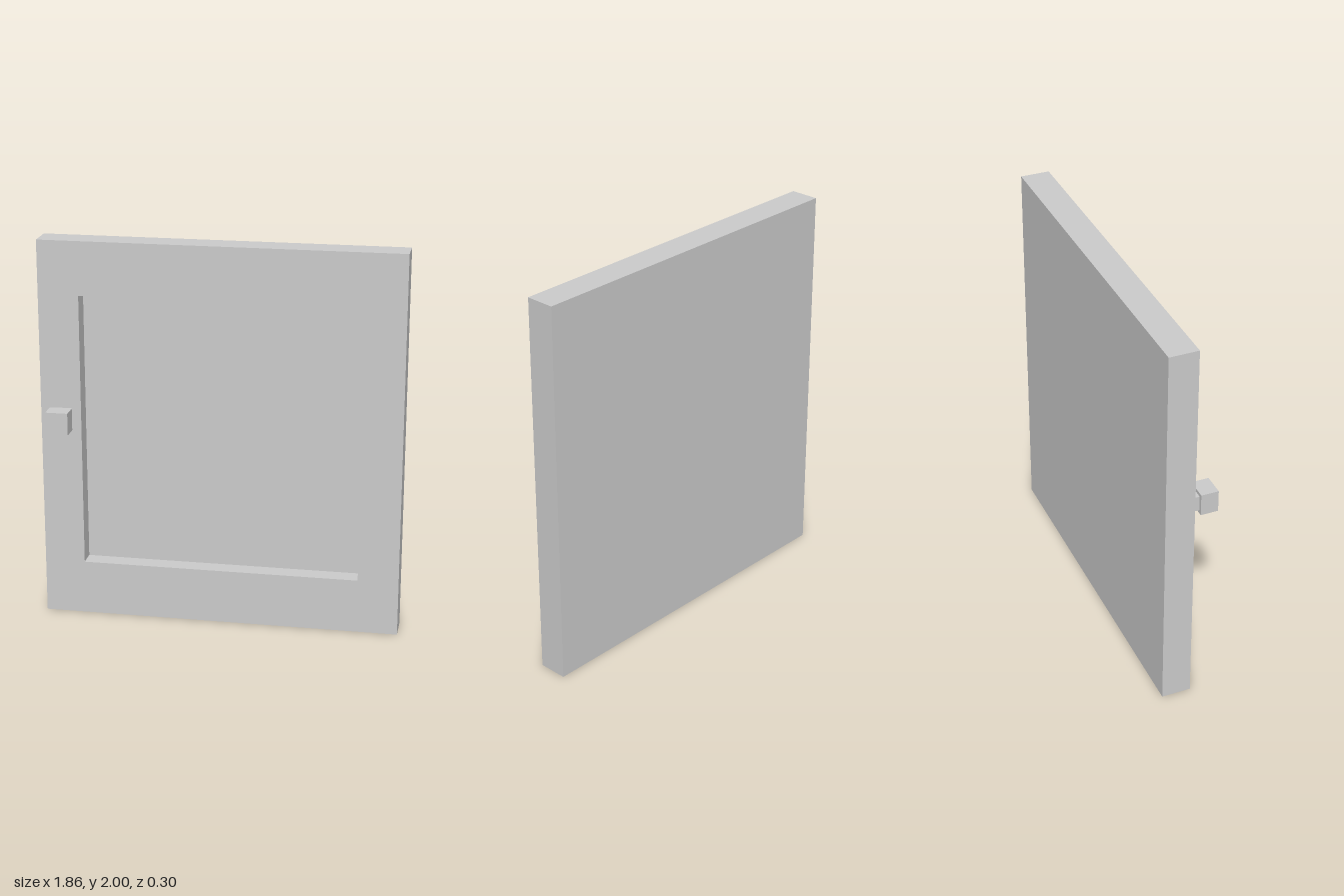
import * as THREE from 'three';

const WIDTH = 1.86, HEIGHT = 2, DEPTH = 0.15;
const OPENING = { x: 0.72, bottom: 0.285, top: 1.72 };
const RECESS = 0.097;

const rectangle = (path, x, y0, y1) =>
  path.moveTo(-x, y0).lineTo(x, y0).lineTo(x, y1).lineTo(-x, y1).closePath();

export function createModel() {
  const model = new THREE.Group();
  model.name = 'cabinetDoor';
  const material = new THREE.MeshStandardMaterial({ color: 0xcccccc, flatShading: true });

  const add = (name, geometry, x, y, z) => {
    const mesh = new THREE.Mesh(geometry, material);
    mesh.name = name;
    mesh.position.set(x, y, z);
    model.add(mesh);
  };

  // Outer frame with a rectangular opening
  const outline = rectangle(new THREE.Shape(), WIDTH / 2, 0, HEIGHT);
  outline.holes.push(rectangle(new THREE.Path(), OPENING.x, OPENING.bottom, OPENING.top));
  add('frame', new THREE.ExtrudeGeometry(outline, { depth: DEPTH, bevelEnabled: false }), 0, 0, -DEPTH);

  // Recessed panel, flush with the back of the frame
  const thickness = DEPTH - RECESS;
  add('panel',
    new THREE.BoxGeometry(2 * OPENING.x, OPENING.top - OPENING.bottom, thickness),
    0, (OPENING.top + OPENING.bottom) / 2, -DEPTH + thickness / 2);

  // Square knob on a narrower neck
  add('knobNeck', new THREE.BoxGeometry(0.08, 0.08, 0.06), -0.81, 1.088, 0.03);
  add('knob', new THREE.BoxGeometry(0.115, 0.115, 0.09), -0.81, 1.088, 0.105);

  return model;
}
